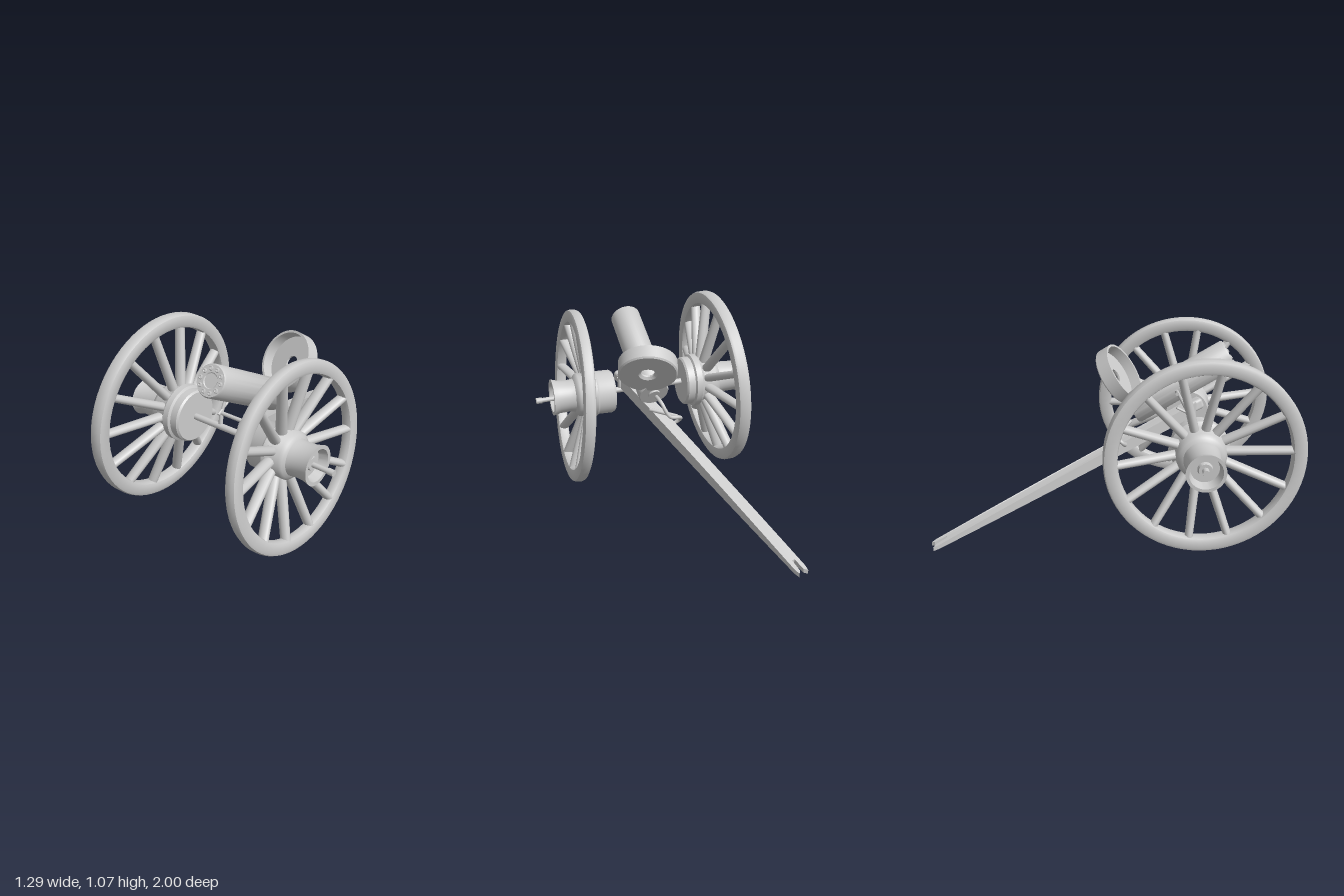
import * as THREE from 'three';
import { toCreasedNormals } from 'three/addons/utils/BufferGeometryUtils.js';
import { RoundedBoxGeometry } from 'three/addons/geometries/RoundedBoxGeometry.js';

const material = new THREE.MeshStandardMaterial({ color: 0xcccccc });
const UP = new THREE.Vector3(0, 1, 0);
const V = (x, y, z) => new THREE.Vector3(x, y, z);

function add(parent, name, geometry) {
  const mesh = new THREE.Mesh(geometry, material);
  mesh.name = name;
  parent.add(mesh);
  return mesh;
}

// Turned part: profile of [radius, height], its axis laid along a direction
function turned(parent, name, profile, position, axis, segments = 48) {
  const points = profile.map(([r, h]) => new THREE.Vector2(r, h));
  const mesh = add(parent, name, toCreasedNormals(new THREE.LatheGeometry(points, segments), 0.7));
  mesh.position.copy(position);
  mesh.quaternion.setFromUnitVectors(UP, axis.clone().normalize());
  return mesh;
}

// Round bar between two points
function rod(parent, name, a, b, r0, r1 = r0, segments = 12) {
  const mesh = add(parent, name, new THREE.CylinderGeometry(r1, r0, a.distanceTo(b), segments));
  mesh.position.copy(a).lerp(b, 0.5);
  mesh.quaternion.setFromUnitVectors(UP, b.clone().sub(a).normalize());
  return mesh;
}

function tube(parent, name, points, radius) {
  return add(parent, name, new THREE.TubeGeometry(new THREE.CatmullRomCurve3(points), 32, radius, 10));
}

// Dished wheel: leaning rim, level hub, oval spokes joining the two
function wheel(name, side, o) {
  const g = new THREE.Group();
  g.name = name;
  const w = o.width / 2, R = o.radius, r = R - 0.077, c = 0.02, d = 0.006;
  const rim = [[r, -w + c], [r + d, -w + d], [r + c, -w], [R - c, -w], [R - d, -w + d], [R, -w + c],
    [R, w - c], [R - d, w - d], [R - c, w], [r + c, w], [r + d, w - d], [r, w - c], [r, -w + c]];
  turned(g, 'rim', rim, o.rimCentre, V(side, -side * o.leanY, -side * o.leanZ), 72);
  turned(g, 'hub', o.hub, V(0, o.hubY, o.hubZ), V(side, 0, 0));
  for (let i = 0; i < 14; i++) {
    const a = (i + 0.35) / 14 * Math.PI * 2, y = Math.cos(a), z = Math.sin(a), q = r + 0.015;
    const inner = V(side * o.spokeX, o.hubY + y * 0.09, o.hubZ + z * 0.09);
    const outer = V(o.rimCentre.x + q * (y * o.leanY + z * o.leanZ), o.rimCentre.y + q * y, o.rimCentre.z + q * z);
    const spoke = rod(g, 'spoke', inner, outer, 0.025, 0.022, 14);
    // Turn the wide way of the oval along the axle
    const along = outer.clone().sub(inner).normalize();
    const flat = V(1, 0, 0).cross(along).normalize();
    spoke.quaternion.setFromRotationMatrix(new THREE.Matrix4().makeBasis(along.clone().cross(flat), along, flat));
    spoke.scale.x = 1.35;
  }
  return g;
}

export function createModel() {
  const model = new THREE.Group();
  model.name = 'wheeledGun';

  // Wheels
  model.add(wheel('leftWheel', 1, {
    radius: 0.515, width: 0.066, rimCentre: V(0.417, 0.52, 0.44), leanY: -0.073, leanZ: -0.019,
    hubY: 0.525, hubZ: 0.44, spokeX: 0.33,
    hub: [[0, 0.18], [0.12, 0.18], [0.13, 0.195], [0.13, 0.28], [0.142, 0.295], [0.14, 0.325], [0.13, 0.34], [0.13, 0.395],
      [0.118, 0.41], [0.1, 0.42], [0.095, 0.45], [0.098, 0.51], [0.109, 0.55], [0.088, 0.55], [0.075, 0.5], [0.04, 0.5], [0.035, 0.52], [0, 0.52]],
  }));
  model.add(wheel('rightWheel', -1, {
    radius: 0.533, width: 0.08, rimCentre: V(-0.475, 0.54, 0.465), leanY: 0.047, leanZ: 0.028,
    hubY: 0.535, hubZ: 0.45, spokeX: 0.39,
    hub: [[0, 0.26], [0.138, 0.26], [0.147, 0.27], [0.147, 0.312], [0.16, 0.32], [0.16, 0.355], [0.14, 0.375], [0.133, 0.45],
      [0.12, 0.475], [0.1, 0.485], [0.095, 0.52], [0.092, 0.6], [0.105, 0.645], [0.088, 0.645], [0.075, 0.59], [0.04, 0.59], [0.035, 0.61], [0, 0.61]],
  }));

  // Axle with its end stubs
  rod(model, 'axle', V(-0.3, 0.535, 0.45), V(0.25, 0.525, 0.44), 0.018);
  rod(model, 'axleStub', V(0.5, 0.52, 0.44), V(0.64, 0.515, 0.437), 0.014);
  rod(model, 'axleStubEnd', V(0.61, 0.516, 0.437), V(0.645, 0.515, 0.437), 0.018);
  rod(model, 'axleStub', V(-0.58, 0.535, 0.45), V(-0.645, 0.535, 0.45), 0.018);

  // Barrel casing with a recessed face, breech button and ring of bores
  const muzzle = V(0.04, 0.927, 0.645), breech = V(0.012, 0.615, 0.11);
  const aim = muzzle.clone().sub(breech), length = aim.length();
  const barrel = turned(model, 'barrel', [[0, -0.012], [0.035, -0.012], [0.035, 0], [0.084, 0], [0.09, 0.01], [0.088, length - 0.01],
    [0.082, length], [0.042, length], [0.038, length - 0.004], [0, length - 0.004]], breech, aim);
  for (let i = 0; i < 10; i++) {
    const a = i / 10 * Math.PI * 2;
    turned(barrel, 'bore', [[0.014, -0.01], [0.012, 0.004], [0.007, 0.007], [0.005, 0.002], [0, 0.002]],
      V(0.063 * Math.cos(a), length, 0.063 * Math.sin(a)), UP, 12);
  }

  // Yoke carrying the barrel above the axle
  const yoke = new THREE.Group();
  yoke.name = 'yoke';
  model.add(yoke);
  rod(yoke, 'trunnion', V(-0.1, 0.745, 0.35), V(0.146, 0.745, 0.35), 0.01);
  rod(yoke, 'yokeCrossbar', V(-0.09, 0.605, 0.43), V(0.14, 0.605, 0.43), 0.011);
  for (const x of [-0.09, 0.138]) {
    rod(yoke, 'yokePost', V(x, 0.765, 0.345), V(x, 0.6, 0.43), 0.009);
    rod(yoke, 'yokeFoot', V(x, 0.61, 0.43), V(x * 0.95, 0.53, 0.445), 0.012);
    rod(yoke, 'yokeBrace', V(x, 0.66, 0.35), V(x, 0.605, 0.455), 0.007);
  }

  // Open drum tray with a hole through its floor
  turned(model, 'drumMagazine', [[0.038, -0.07], [0.052, -0.083], [0.159, -0.083], [0.167, -0.075], [0.167, 0], [0.154, 0], [0.15, -0.06],
    [0.038, -0.06], [0.038, -0.07]], V(0.06, 0.826, 0.067), V(-0.22, 0.57, 0.8), 56);

  // Trail: plan outline with a forked end, sloped and thinned towards the ground
  const outline = new THREE.Shape();
  outline.moveTo(-0.034, 0).lineTo(0.034, 0);
  for (let i = 1; i <= 9; i++) outline.lineTo(0.034, i * 0.109);
  for (const [x, y] of [[0.028, 1], [0.012, 0.99], [0.008, 0.95], [-0.008, 0.95], [-0.012, 0.99], [-0.028, 1]]) outline.lineTo(x, y);
  for (let i = 9; i >= 1; i--) outline.lineTo(-0.034, i * 0.109);
  const trail = new THREE.ExtrudeGeometry(outline, { depth: 1, bevelEnabled: false });
  const head = V(0.105, 0.585, 0.47), tail = V(-0.45, 0.012, -0.99), p = trail.attributes.position;
  for (let i = 0; i < p.count; i++) {
    const across = p.getX(i), along = p.getY(i), up = p.getZ(i) - 0.5;
    const c = head.clone().lerp(tail, along);
    p.setXYZ(i, c.x + across, c.y + up * (0.075 - 0.053 * along * along), c.z + across * -0.3);
  }
  add(model, 'trail', toCreasedNormals(trail, 0.6));
  const block = add(model, 'trailHead', new RoundedBoxGeometry(0.07, 0.065, 0.1, 3, 0.018));
  block.position.set(0.108, 0.592, 0.47);
  block.rotation.set(-0.35, 0.36, 0);

  // Crank at the breech
  tube(model, 'crank', [V(0.0, 0.6, 0.11), V(-0.01, 0.585, 0.03), V(-0.05, 0.51, 0.0), V(-0.115, 0.49, 0.02),
    V(-0.128, 0.465, 0.05), V(-0.1, 0.44, 0.065), V(-0.06, 0.445, 0.06)], 0.011);
  rod(model, 'crankArm', V(-0.1, 0.5, 0.015), V(0.04, 0.525, 0.1), 0.011);
  return model;
}
